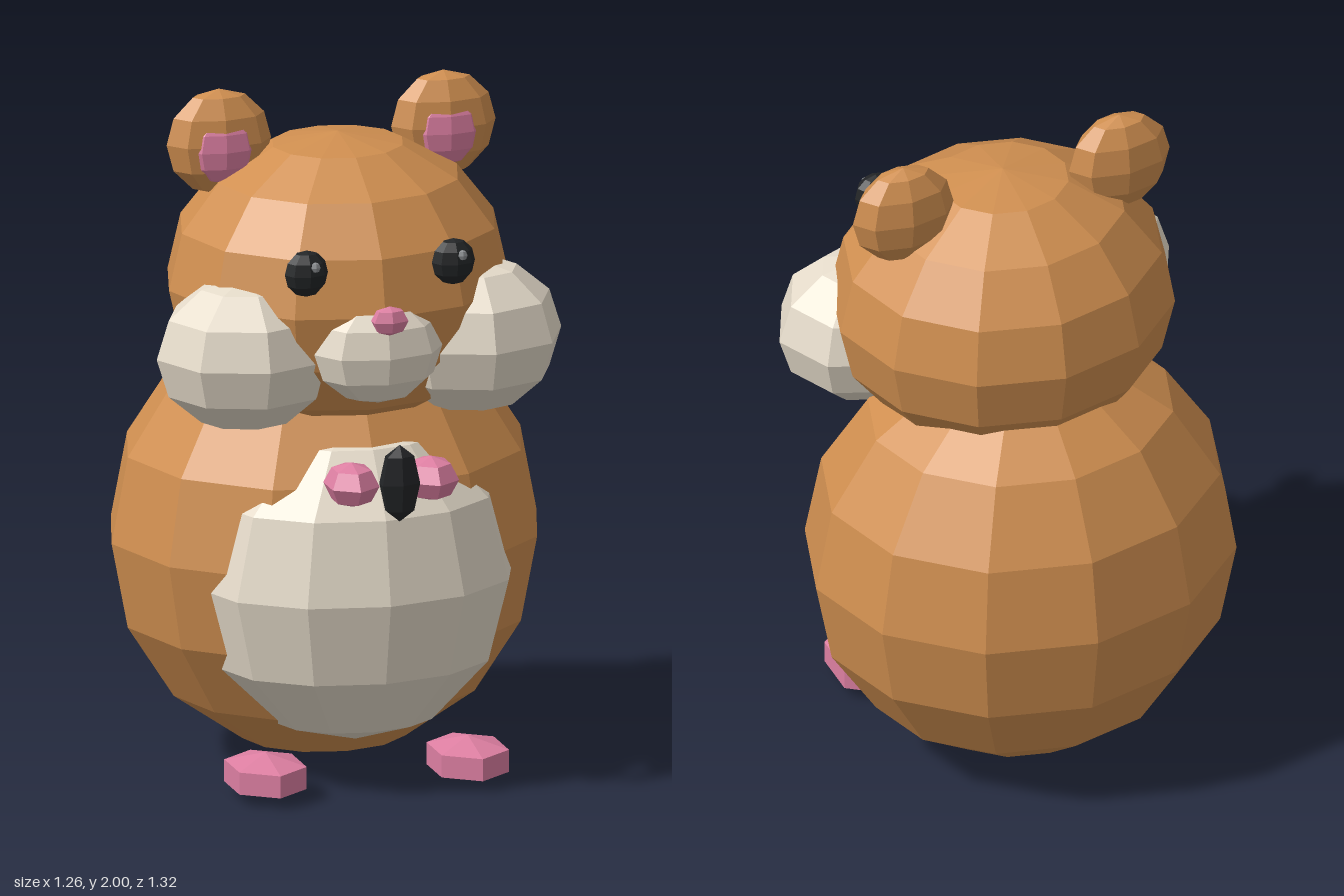
import * as THREE from 'three';

const paint = (color) => new THREE.MeshStandardMaterial({ color, flatShading: true });

export function createModel() {
  const group = new THREE.Group();
  const fur = paint(0xd08f50);
  const cream = paint(0xe6dccb);
  const pink = paint(0xdd7fa2);
  const black = paint(0x222426);
  const glint = paint(0x8a8d90);

  // Faceted ellipsoid: centre, radii, sides around and rows from pole to pole
  function blob(name, material, [x, y, z], [rx, ry, rz], sides, rows) {
    const geometry = new THREE.SphereGeometry(1, sides, rows);
    // six-sided parts have a corner at the front
    if (sides === 6) geometry.rotateY(Math.PI / 2);
    geometry.scale(rx, ry, rz);
    const mesh = new THREE.Mesh(geometry, material);
    mesh.name = name;
    mesh.position.set(x, y, z);
    group.add(mesh);
    return mesh;
  }

  // Torso and head
  blob('body', fur, [0, 0.665, -0.1], [0.63, 0.655, 0.56], 12, 8);
  blob('belly', cream, [0, 0.6, 0.2], [0.465, 0.48, 0.34], 12, 6);
  blob('head', fur, [0, 1.435, 0.03], [0.5, 0.43, 0.46], 12, 8);

  // Face
  blob('muzzle', cream, [0, 1.325, 0.42], [0.19, 0.155, 0.115], 8, 6);
  blob('nose', pink, [0, 1.44, 0.53], [0.058, 0.043, 0.034], 6, 4);

  // Seed held between the paws
  blob('seed', black, [0, 0.988, 0.625], [0.064, 0.113, 0.035], 6, 4);

  // Paired parts
  for (const [side, s] of [['left', 1], ['right', -1]]) {
    blob(side + 'Ear', fur, [s * 0.333, 1.845, -0.032], [0.155, 0.155, 0.078], 8, 6);
    blob(side + 'InnerEar', pink, [s * 0.333, 1.83, 0.005], [0.1, 0.1, 0.044], 8, 6);
    blob(side + 'Eye', black, [s * 0.218, 1.572, 0.435], [0.064, 0.068, 0.045], 8, 6);
    blob(side + 'EyeGlint', glint, [s * 0.218 + 0.016, 1.597, 0.469], [0.016, 0.016, 0.012], 6, 4);
    blob(side + 'Cheek', cream, [s * 0.335, 1.295, 0.235], [0.265, 0.225, 0.235], 8, 6);
    blob(side + 'Hand', pink, [s * 0.118, 0.972, 0.543], [0.08, 0.065, 0.093], 6, 4);
    blob(side + 'Foot', pink, [s * 0.3, 0.07, 0.308], [0.133, 0.065, 0.168], 6, 3);
  }

  return group;
}
